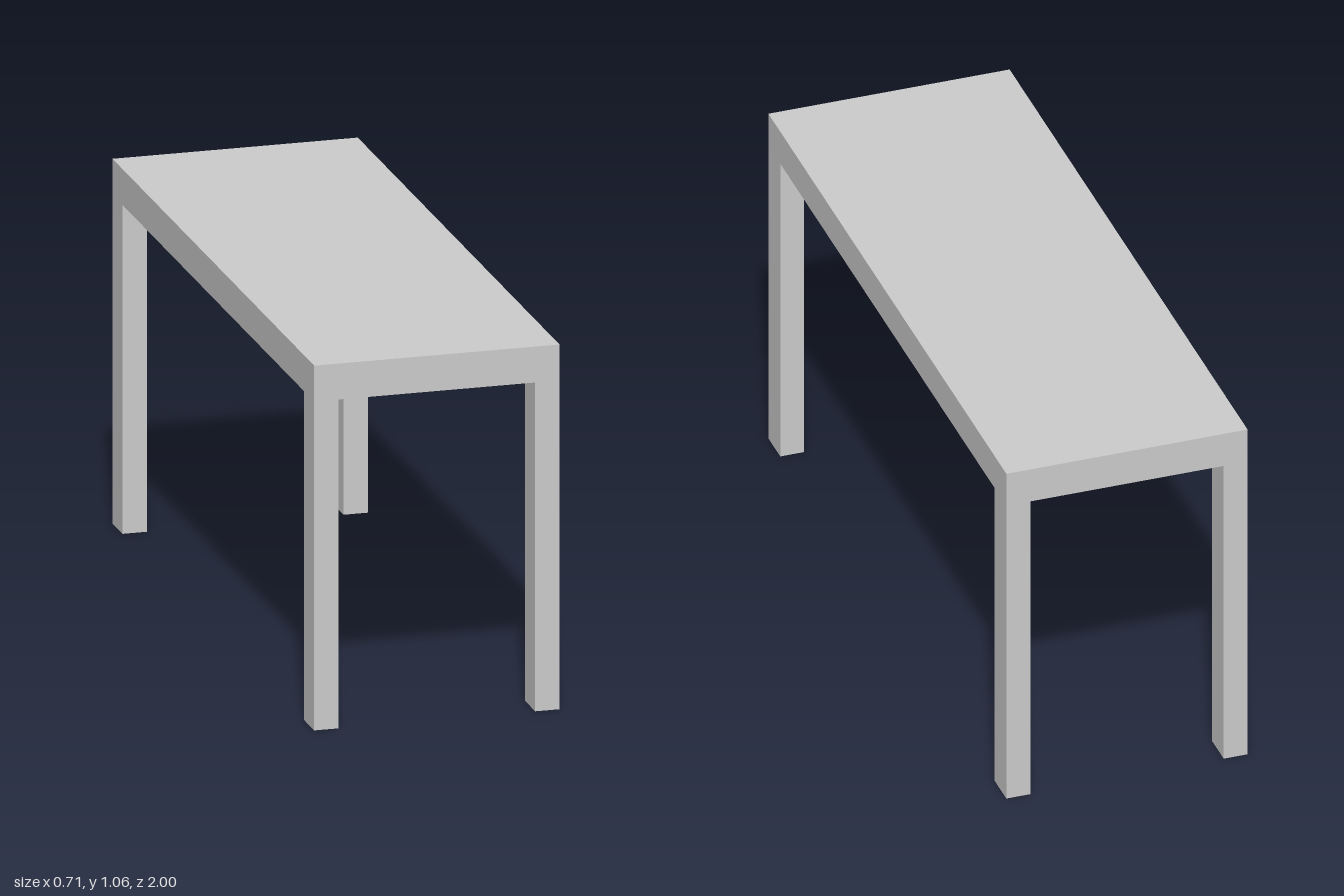
import * as THREE from 'three';

const WIDTH = 0.706, LENGTH = 2, HEIGHT = 1.056;
const TOP_THICKNESS = 0.104;
const LEG_WIDTH = 0.07, LEG_DEPTH = 0.1;

export function createModel() {
  const table = new THREE.Group();
  table.name = 'table';
  const material = new THREE.MeshStandardMaterial({ color: 0xcccccc, flatShading: true });

  const addBox = (name, size, position) => {
    const mesh = new THREE.Mesh(new THREE.BoxGeometry(...size), material);
    mesh.name = name;
    mesh.position.set(...position);
    table.add(mesh);
  };

  // Solid slab top
  addBox('tableTop', [WIDTH, TOP_THICKNESS, LENGTH], [0, HEIGHT - TOP_THICKNESS / 2, 0]);

  // Four legs, flush with the corners of the top
  const legHeight = HEIGHT - TOP_THICKNESS;
  for (const [end, sz] of [['front', 1], ['back', -1]]) {
    for (const [side, sx] of [['Left', 1], ['Right', -1]]) {
      addBox(`${end}${side}Leg`, [LEG_WIDTH, legHeight, LEG_DEPTH],
        [sx * (WIDTH - LEG_WIDTH) / 2, legHeight / 2, sz * (LENGTH - LEG_DEPTH) / 2]);
    }
  }

  return table;
}
